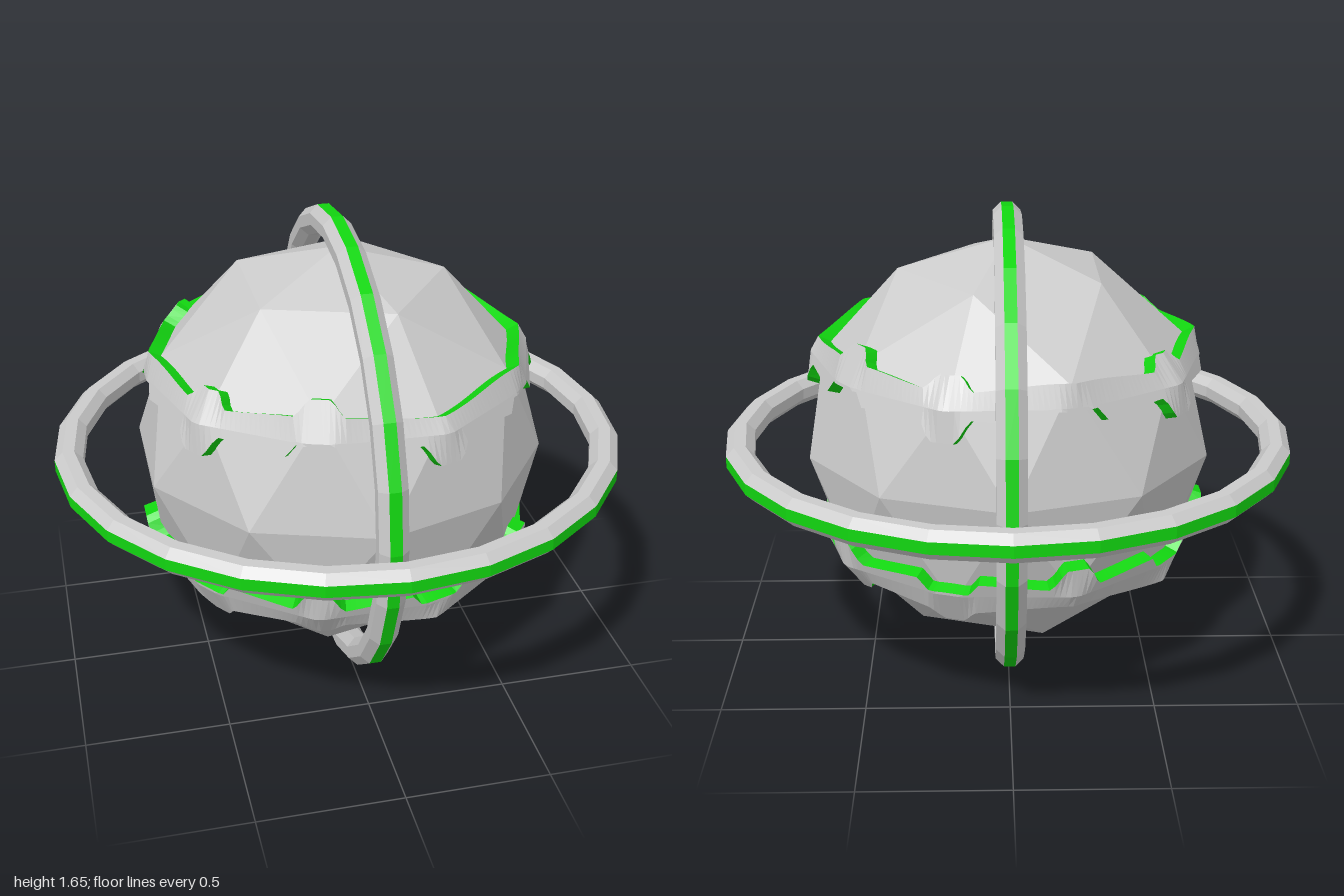
import * as THREE from 'three';

const CENTER_Y = 0.828, RADIUS = 0.72, DEG = Math.PI / 180;

const grey = new THREE.MeshStandardMaterial({ color: 0xcccccc, flatShading: true });
const green = new THREE.MeshStandardMaterial({ color: 0x12d610, flatShading: true });

function part(name, geometry, material) {
  const mesh = new THREE.Mesh(geometry, material);
  mesh.name = name;
  return mesh;
}

// Faceted globe with one vertex at each pole
function globeGeometry() {
  return new THREE.IcosahedronGeometry(RADIUS, 1).rotateZ(-Math.atan(2 / (1 + Math.sqrt(5))));
}

// Face planes of the globe, used to lay the bands on its facets
function facePlanes(geometry) {
  const p = geometry.attributes.position, planes = [];
  const v = [0, 1, 2].map(() => new THREE.Vector3());
  for (let i = 0; i < p.count; i += 3) {
    v.forEach((q, k) => q.fromBufferAttribute(p, i + k));
    const plane = new THREE.Plane().setFromCoplanarPoints(...v);
    planes.push({ n: plane.normal, h: -plane.constant });
  }
  return planes;
}

// Point at a given angle and height, lifted off the facets by an offset
function surfacePoint(planes, angle, y, offset) {
  const c = Math.cos(angle), s = Math.sin(angle);
  let r = Infinity;
  for (const { n, h } of planes) {
    const k = n.x * c + n.z * s;
    if (k > 0.05) r = Math.min(r, (h + offset - n.y * y) / k);
  }
  return [r * c, y, r * s];
}

// 1 within the inner half-width, sloping to 0 at the outer half-width
function tab(angle, centre, inner, outer) {
  const d = Math.abs(((angle - centre + 540) % 360 + 360) % 360 - 180);
  return THREE.MathUtils.clamp((outer - d) / (outer - inner), 0, 1);
}

const UPPER_TABS = [-72, -36, 108, 144, -144];

// Cross-section of a raised band: rim, outer face in two strips, rim
function bandSection(planes, deg) {
  const a = deg * DEG, wave = Math.cos(5 * a);
  let top = 0.385 - 0.014 * wave, bottom = 0.282 + 0.014 * wave;
  for (let k = 0; k < 5; k++) {
    bottom -= 0.075 * tab(deg, 72 * k, 3.5, 7);
    bottom += 0.045 * tab(deg, 72 * k + 36, 6, 9);
    top += 0.045 * tab(deg, UPPER_TABS[k], 3.5, 7);
  }
  const middle = RADIUS * 0.447;
  return [
    surfacePoint(planes, a, bottom - 0.018, -0.01),
    surfacePoint(planes, a, bottom, 0.045),
    surfacePoint(planes, a, Math.max(middle, bottom + 0.01), 0.045),
    surfacePoint(planes, a, top, 0.045),
    surfacePoint(planes, a, top - 0.025, -0.01),
  ];
}

// Joins the chosen strips of all sections; sign -1 gives the opposite band
function stripGeometry(sections, rows, sign) {
  const out = [];
  sections.forEach((s, i) => {
    const t = sections[(i + 1) % sections.length];
    for (const r of rows) {
      const a = s[r], b = s[r + 1], c = t[r + 1], d = t[r];
      const corners = sign > 0 ? [a, b, c, a, c, d] : [a, c, b, a, d, c];
      for (const q of corners) out.push(q[0] * sign, q[1] * sign, q[2] * sign);
    }
  });
  const g = new THREE.BufferGeometry();
  g.setAttribute('position', new THREE.Float32BufferAttribute(out, 3));
  g.computeVertexNormals();
  return g;
}

function makeBand(name, planes, sign) {
  const sections = [];
  for (let deg = 0; deg < 360; deg += 1.5) sections.push(bandSection(planes, deg));
  const band = new THREE.Group();
  band.name = name;
  band.add(
    part(name + 'Face', stripGeometry(sections, [1, 2], sign), grey),
    part(name + 'Rims', stripGeometry(sections, [0, 3], sign), green));
  return band;
}

// Eight-sided hoop whose outermost strip is green
function makeHoop(name, outerRadius) {
  const half = 0.049, tube = half / Math.cos(22.5 * DEG);
  const corner = (i) => {
    const a = (22.5 + 45 * i) * DEG;
    return new THREE.Vector2(outerRadius - half + tube * Math.cos(a), tube * Math.sin(a));
  };
  const body = [0, 1, 2, 3, 4, 5, 6, 7].map(corner);
  const hoop = new THREE.Group();
  hoop.name = name;
  hoop.add(
    part(name + 'Body', new THREE.LatheGeometry(body, 24), grey),
    part(name + 'Stripe', new THREE.LatheGeometry([corner(-1), corner(0)], 24), green));
  return hoop;
}

export function createModel() {
  const model = new THREE.Group();
  model.name = 'ringedGlobe';
  const assembly = new THREE.Group();
  assembly.name = 'globeAssembly';
  assembly.position.y = CENTER_Y;
  model.add(assembly);

  const globe = globeGeometry();
  const planes = facePlanes(globe);
  assembly.add(part('globe', globe, grey));

  // Raised bands above and below the equator
  assembly.add(makeBand('upperBand', planes, 1), makeBand('lowerBand', planes, -1));

  // Wide level hoop and smaller upright hoop
  const upright = makeHoop('uprightHoop', 0.825);
  upright.rotation.z = Math.PI / 2;
  assembly.add(makeHoop('levelHoop', 1), upright);
  return model;
}
